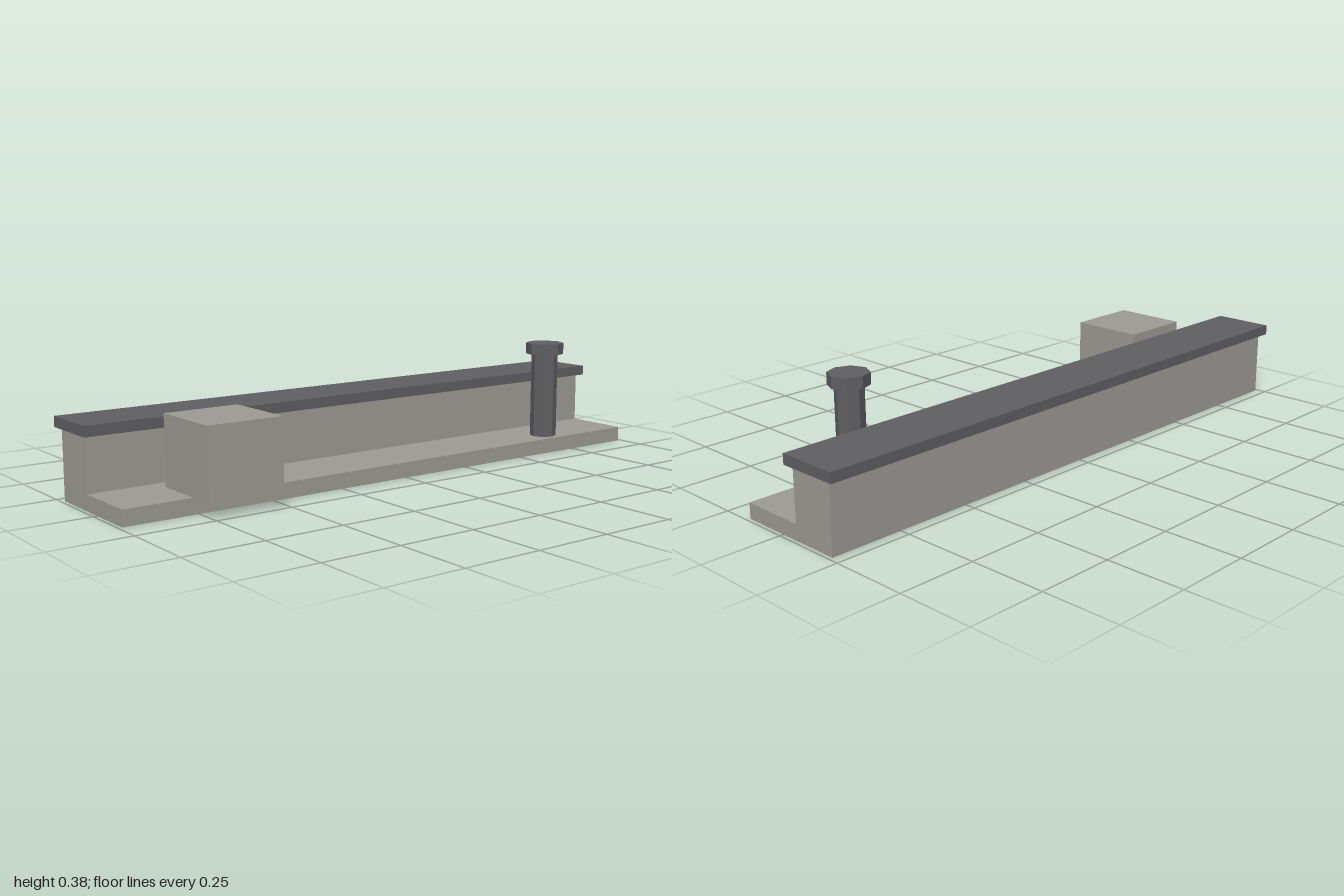
import * as THREE from 'three';

export function createModel() {
  const model = new THREE.Group();
  model.name = 'ledgeWithPost';

  const stone = new THREE.MeshStandardMaterial({ color: 0x9c9a94, flatShading: true });
  stone.name = 'warm grey stone';
  const slate = new THREE.MeshStandardMaterial({ color: 0x5f5f62, flatShading: true });
  slate.name = 'dark slate';

  function add(name, geometry, material, x, y, z) {
    const mesh = new THREE.Mesh(geometry, material);
    mesh.name = name;
    mesh.position.set(x, y, z);
    model.add(mesh);
  }

  // Box given by its lower and upper corners
  function addBox(name, material, [x0, y0, z0], [x1, y1, z1]) {
    add(name, new THREE.BoxGeometry(x1 - x0, y1 - y0, z1 - z0), material,
      (x0 + x1) / 2, (y0 + y1) / 2, (z0 + z1) / 2);
  }

  // Eight-sided upright standing on height y0
  function addOctagon(name, radius, y0, y1) {
    add(name, new THREE.CylinderGeometry(radius, radius, y1 - y0, 8), slate,
      0.665, (y0 + y1) / 2, 0.093);
  }

  // Base slab and back wall: one L profile drawn in z and y, run along x
  const length = 1.976;
  const profile = new THREE.Shape([
    [0.155, 0], [0.155, 0.05], [-0.062, 0.05],
    [-0.062, 0.219], [-0.216, 0.219], [-0.216, 0],
  ].map(([z, y]) => new THREE.Vector2(z, y)));
  const baseAndWall = new THREE.ExtrudeGeometry(profile, { depth: length, bevelEnabled: false });
  baseAndWall.rotateY(-Math.PI / 2);
  add('baseAndWall', baseAndWall, stone, length / 2, 0, 0);

  // Overhanging coping on the wall
  addBox('coping', slate, [-1, 0.219, -0.241], [1, 0.252, -0.038]);

  // Block overhanging the front of the base
  addBox('block', stone, [-0.768, 0.05, -0.006], [-0.521, 0.268, 0.242]);

  // Bollard post with a wider head
  addOctagon('post', 0.045, 0.05, 0.338);
  addOctagon('postHead', 0.064, 0.338, 0.376);

  return model;
}
